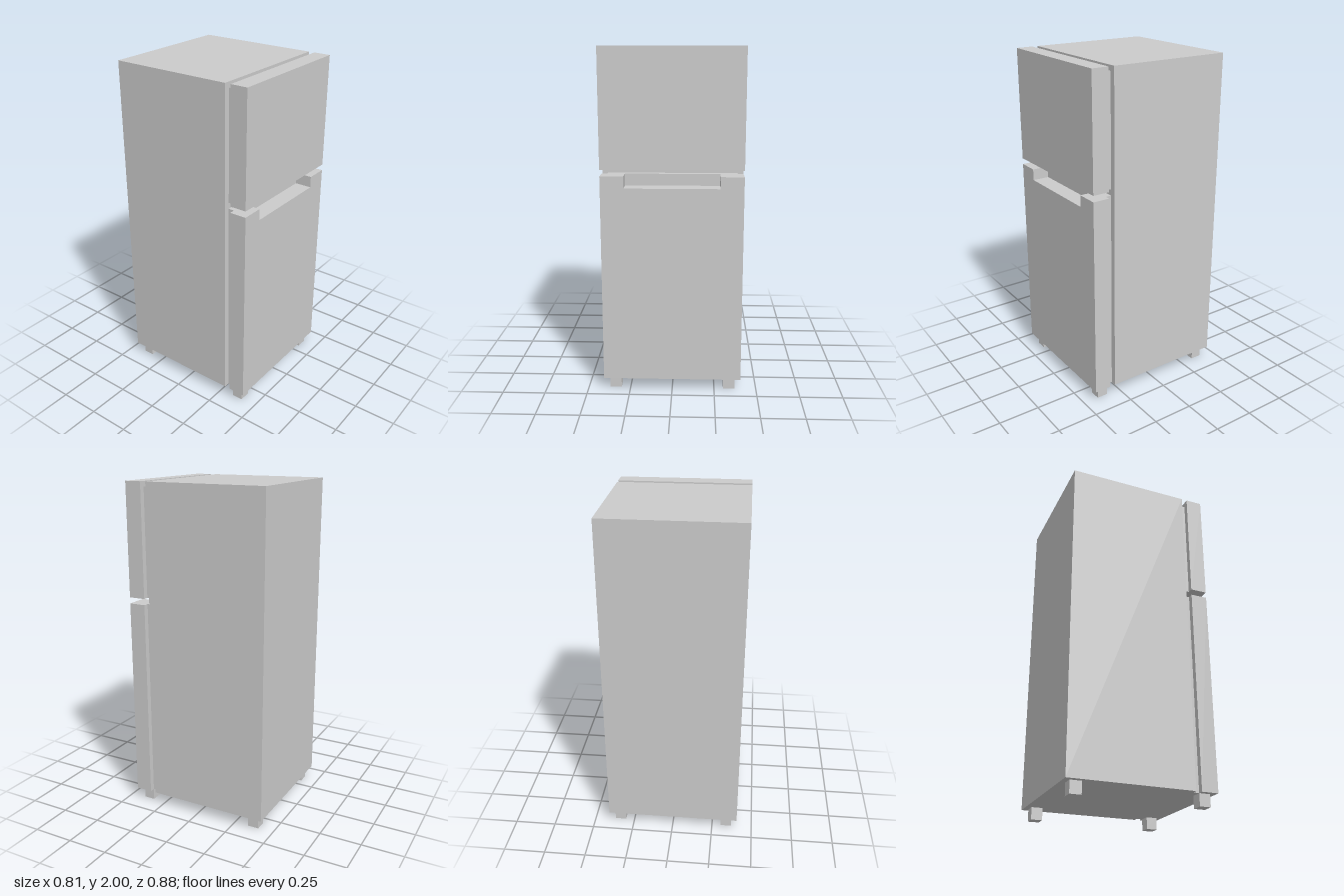
import * as THREE from 'three';

export function createModel() {
  const model = new THREE.Group();
  const material = new THREE.MeshStandardMaterial({ color: 0xcccccc, flatShading: true });

  const W = 0.405; // half width of cabinet and doors
  const BACK = -0.438, CABINET_FRONT = 0.302, DOOR_BACK = 0.337, FRONT = 0.438;
  const BASE = 0.072, LOWER_TOP = 1.29, UPPER_BOTTOM = 1.327, TOP = 2;

  // Box given by its limits on each axis
  function box(name, [x0, x1], [y0, y1], [z0, z1]) {
    const mesh = new THREE.Mesh(new THREE.BoxGeometry(x1 - x0, y1 - y0, z1 - z0), material);
    mesh.position.set((x0 + x1) / 2, (y0 + y1) / 2, (z0 + z1) / 2);
    mesh.name = name;
    model.add(mesh);
  }

  box('cabinet', [-W, W], [BASE, TOP], [BACK, CABINET_FRONT]);
  box('freezerDoor', [-W, W], [UPPER_BOTTOM, TOP], [DOOR_BACK, FRONT]);

  // Lower door with the hand grip cut out of its top edge
  const grip = 0.272, gripFloor = 1.222;
  const outline = new THREE.Shape([
    [-W, BASE], [W, BASE], [W, LOWER_TOP], [grip, LOWER_TOP],
    [grip, gripFloor], [-grip, gripFloor], [-grip, LOWER_TOP], [-W, LOWER_TOP],
  ].map(([x, y]) => new THREE.Vector2(x, y)));
  const door = new THREE.Mesh(
    new THREE.ExtrudeGeometry(outline, { depth: FRONT - DOOR_BACK, bevelEnabled: false }),
    material
  );
  door.position.z = DOOR_BACK;
  door.name = 'fridgeDoor';
  model.add(door);

  // Recessed seals between cabinet and doors
  const seal = 0.372;
  box('freezerSeal', [-seal, seal], [UPPER_BOTTOM, 1.969], [CABINET_FRONT, DOOR_BACK]);
  box('fridgeSeal', [-seal, seal], [BASE, LOWER_TOP], [CABINET_FRONT, DOOR_BACK]);

  // Four square feet
  for (const [side, x] of [['left', [0.304, 0.372]], ['right', [-0.372, -0.304]]]) {
    box(side + 'FrontFoot', x, [0, BASE], [0.338, 0.405]);
    box(side + 'BackFoot', x, [0, BASE], [-0.405, -0.338]);
  }

  return model;
}
